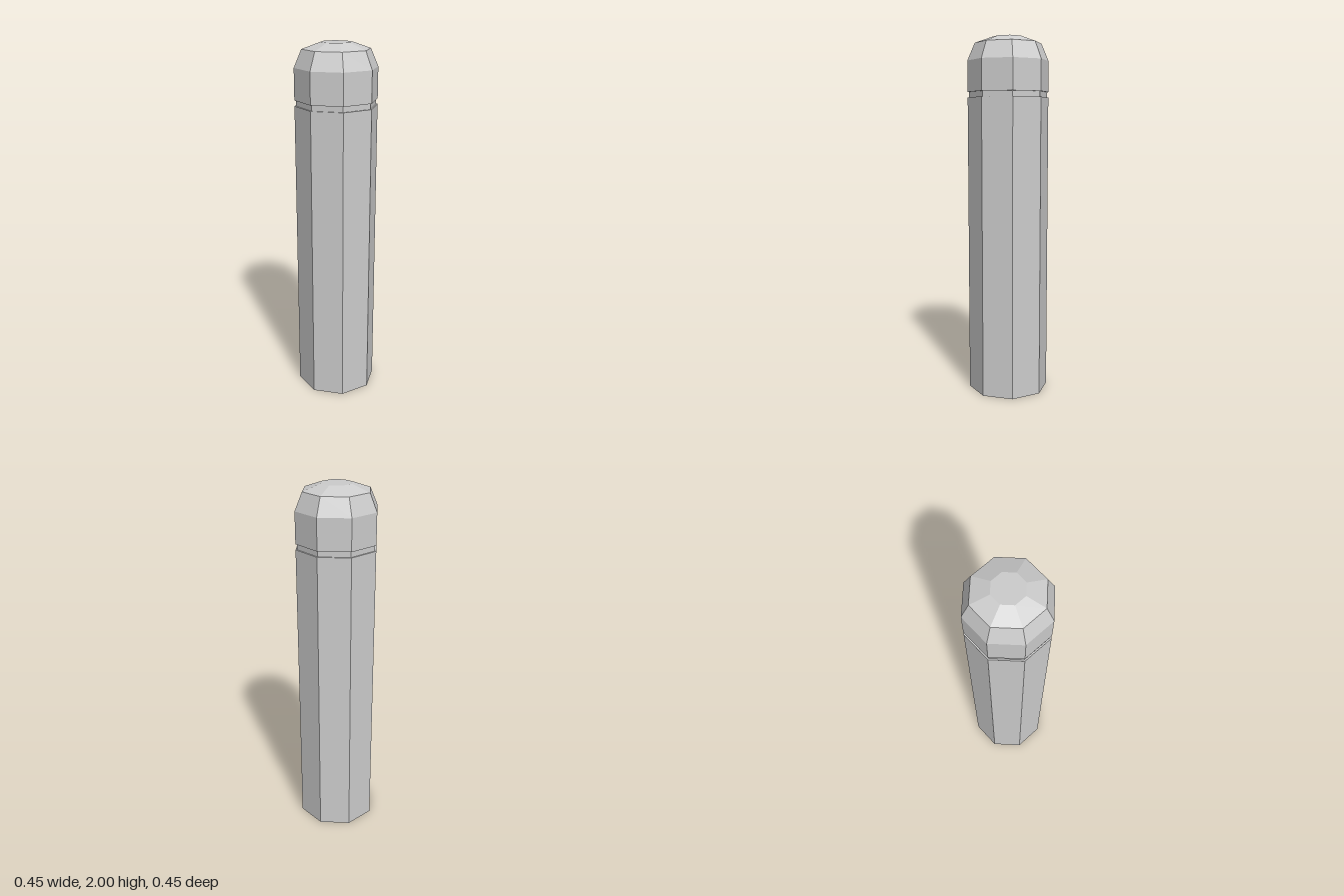
import * as THREE from 'three';

const SIDES = 8;
const R = 0.226; // post radius, corners on the x and z axes
const GROOVE_R = 0.218;
const GROOVE_BOTTOM = 1.67;
const GROOVE_TOP = 1.70;

export function createModel() {
  const group = new THREE.Group();
  group.name = 'bollard';
  const material = new THREE.MeshStandardMaterial({
    color: 0xcccccc, flatShading: true, side: THREE.DoubleSide,
  });

  // Turns a radius/height profile into an eight-sided part
  const addPart = (name, profile) => {
    const points = profile.map(([r, y]) => new THREE.Vector2(r, y));
    const mesh = new THREE.Mesh(new THREE.LatheGeometry(points, SIDES), material);
    mesh.name = name;
    group.add(mesh);
  };

  // Hollow shaft, open at the bottom
  addPart('post', [[R, 0], [R, GROOVE_BOTTOM]]);

  // Shallow recessed ring with its two ledges
  addPart('groove', [
    [R, GROOVE_BOTTOM], [GROOVE_R, GROOVE_BOTTOM], [GROOVE_R, GROOVE_TOP], [R, GROOVE_TOP],
  ]);

  // Collar with a faceted domed top
  addPart('cap', [[R, GROOVE_TOP], [R, 1.87], [0.185, 1.965], [0.085, 2], [0, 2]]);

  return group;
}
